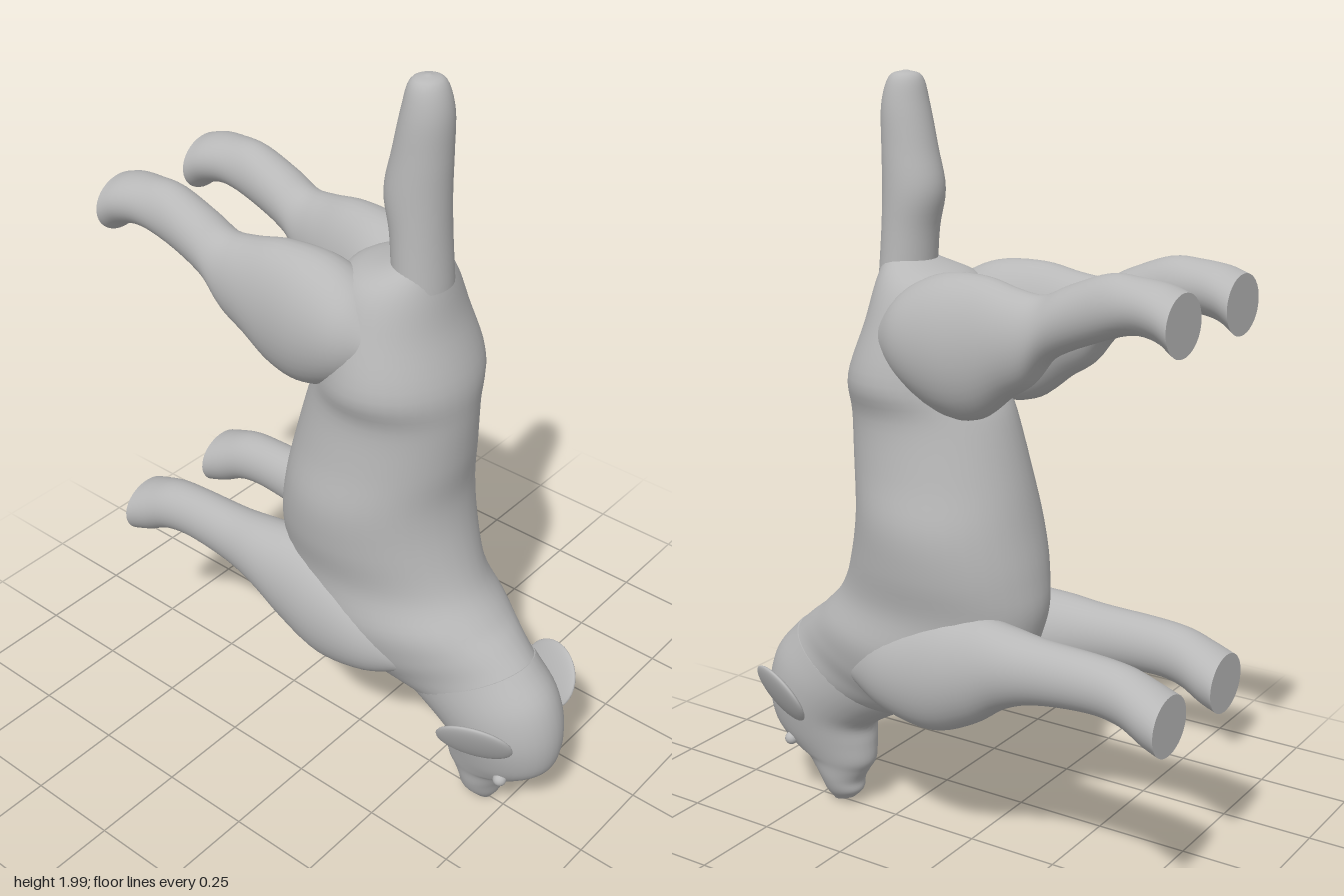
import * as THREE from 'three';

const SIDES = 36;
const STEPS = 5;

// Smooth skin over oval sections. Each section: [zA, yA, zB, yB, halfWidth, centreX];
// A and B are opposite ends of the oval in the side plane.
function loft(sections, side = 1) {
  const curve = (f) => new THREE.CatmullRomCurve3(sections.map(f), false, 'catmullrom', 0.5);
  const a = curve((s) => new THREE.Vector3(0, s[1], s[0]));
  const b = curve((s) => new THREE.Vector3(0, s[3], s[2]));
  const w = curve((s, i) => new THREE.Vector3(s[4], s[5] || 0, i));
  const rings = (sections.length - 1) * STEPS;
  const pos = [];
  const index = [];
  const ring = (t) => {
    const pa = a.getPoint(t), pb = b.getPoint(t), pw = w.getPoint(t);
    const mid = pa.clone().add(pb).multiplyScalar(0.5);
    const half = pa.sub(mid);
    mid.x = pw.y * side;
    for (let j = 0; j < SIDES; j++) {
      const ang = (j / SIDES) * Math.PI * 2;
      const c = Math.cos(ang);
      pos.push(mid.x + Math.sin(ang) * pw.x, mid.y + half.y * c, mid.z + half.z * c);
    }
    return mid;
  };
  for (let i = 0; i <= rings; i++) ring(i / rings);
  for (let i = 0; i < rings; i++) {
    for (let j = 0; j < SIDES; j++) {
      const k = (j + 1) % SIDES;
      const p = i * SIDES + j, q = i * SIDES + k;
      index.push(p, p + SIDES, q, q, p + SIDES, q + SIDES);
    }
  }
  // End caps on their own vertices keep a sharp rim
  for (const end of [0, 1]) {
    const first = pos.length / 3;
    const mid = ring(end);
    const centre = pos.length / 3;
    pos.push(mid.x, mid.y, mid.z);
    for (let j = 0; j < SIDES; j++) {
      const p = first + j, q = first + ((j + 1) % SIDES);
      if (end === 0) index.push(centre, p, q);
      else index.push(centre, q, p);
    }
  }
  const geo = new THREE.BufferGeometry();
  geo.setAttribute('position', new THREE.Float32BufferAttribute(pos, 3));
  geo.setIndex(index);
  geo.computeVertexNormals();
  return geo;
}

const BODY = [
  [0.24, 1.56, 0.11, 1.55, 0.07],
  [0.255, 1.49, 0.0, 1.51, 0.14],
  [0.275, 1.4, -0.03, 1.42, 0.18],
  [0.32, 1.27, -0.05, 1.27, 0.215],
  [0.325, 1.17, -0.1, 1.18, 0.195],
  [0.32, 1.05, -0.145, 1.03, 0.208],
  [0.31, 0.93, -0.175, 0.9, 0.23],
  [0.33, 0.81, -0.2, 0.78, 0.222],
  [0.375, 0.69, -0.205, 0.67, 0.2],
  [0.44, 0.615, -0.15, 0.52, 0.205],
  [0.49, 0.575, -0.06, 0.39, 0.18],
  [0.53, 0.54, 0.08, 0.35, 0.15],
  [0.56, 0.51, 0.2, 0.33, 0.135],
];

const HEAD = [
  [0.545, 0.53, 0.2, 0.335, 0.138],
  [0.62, 0.445, 0.28, 0.29, 0.135],
  [0.65, 0.34, 0.325, 0.255, 0.125],
  [0.64, 0.24, 0.325, 0.205, 0.106],
  [0.59, 0.18, 0.325, 0.15, 0.086],
  [0.54, 0.155, 0.345, 0.115, 0.075],
  [0.5, 0.1, 0.365, 0.08, 0.065],
  [0.478, 0.045, 0.367, 0.05, 0.048],
  [0.455, 0.008, 0.39, 0.025, 0.022],
];

const TAIL = [
  [0.195, 2.0, 0.185, 2.0, 0.005],
  [0.23, 1.985, 0.15, 1.985, 0.042],
  [0.25, 1.92, 0.132, 1.92, 0.06],
  [0.25, 1.82, 0.11, 1.82, 0.068],
  [0.248, 1.72, 0.09, 1.72, 0.075],
  [0.25, 1.62, 0.11, 1.62, 0.076],
  [0.258, 1.5, 0.12, 1.5, 0.08],
];

const HIND_LEG = [
  [0.17, 1.33, 0.17, 1.42, 0.04, 0.13],
  [0.08, 1.25, 0.1, 1.5, 0.1, 0.12],
  [-0.03, 1.2, 0, 1.545, 0.115, 0.12],
  [-0.12, 1.21, -0.12, 1.55, 0.1, 0.13],
  [-0.2, 1.27, -0.22, 1.53, 0.085, 0.14],
  [-0.26, 1.31, -0.29, 1.525, 0.075, 0.145],
  [-0.32, 1.38, -0.36, 1.555, 0.068, 0.147],
  [-0.43, 1.43, -0.46, 1.59, 0.065, 0.148],
  [-0.53, 1.46, -0.54, 1.588, 0.07, 0.15],
  [-0.6, 1.45, -0.6, 1.58, 0.08, 0.15],
  [-0.645, 1.42, -0.645, 1.565, 0.086, 0.15],
];

const FRONT_LEG = [
  [0.27, 0.45, 0.27, 0.54, 0.04, 0.13],
  [0.16, 0.4, 0.16, 0.63, 0.085, 0.135],
  [0.02, 0.375, 0.02, 0.69, 0.105, 0.13],
  [-0.1, 0.42, -0.1, 0.705, 0.1, 0.13],
  [-0.2, 0.49, -0.2, 0.7, 0.085, 0.14],
  [-0.3, 0.525, -0.3, 0.69, 0.07, 0.145],
  [-0.44, 0.54, -0.44, 0.685, 0.064, 0.148],
  [-0.53, 0.53, -0.53, 0.675, 0.068, 0.15],
  [-0.6, 0.495, -0.6, 0.65, 0.078, 0.15],
  [-0.645, 0.48, -0.645, 0.63, 0.086, 0.15],
];

export function createModel() {
  const model = new THREE.Group();
  const grey = new THREE.MeshStandardMaterial({ color: 0xb8b8b8 });
  grey.name = 'plain grey';
  const add = (name, geo) => {
    const mesh = new THREE.Mesh(geo, grey);
    mesh.name = name;
    model.add(mesh);
    return mesh;
  };

  add('body', loft(BODY));
  add('head', loft(HEAD));
  add('tail', loft(TAIL));

  for (const [label, s] of [['left', 1], ['right', -1]]) {
    add(label + 'HindLeg', loft(HIND_LEG, s));
    add(label + 'FrontLeg', loft(FRONT_LEG, s));

    // Flat oval ear, leaning out and back from the head
    const ear = add(label + 'Ear', new THREE.SphereGeometry(1, 28, 18));
    ear.scale.set(0.016, 0.09, 0.1);
    ear.position.set(s * 0.163, 0.366, 0.508);
    ear.quaternion.setFromUnitVectors(
      new THREE.Vector3(s, 0, 0),
      new THREE.Vector3(s, -0.52, 0.38).normalize(),
    );

    const eye = add(label + 'Eye', new THREE.SphereGeometry(0.018, 16, 12));
    eye.position.set(s * 0.086, 0.197, 0.54);
  }
  return model;
}
